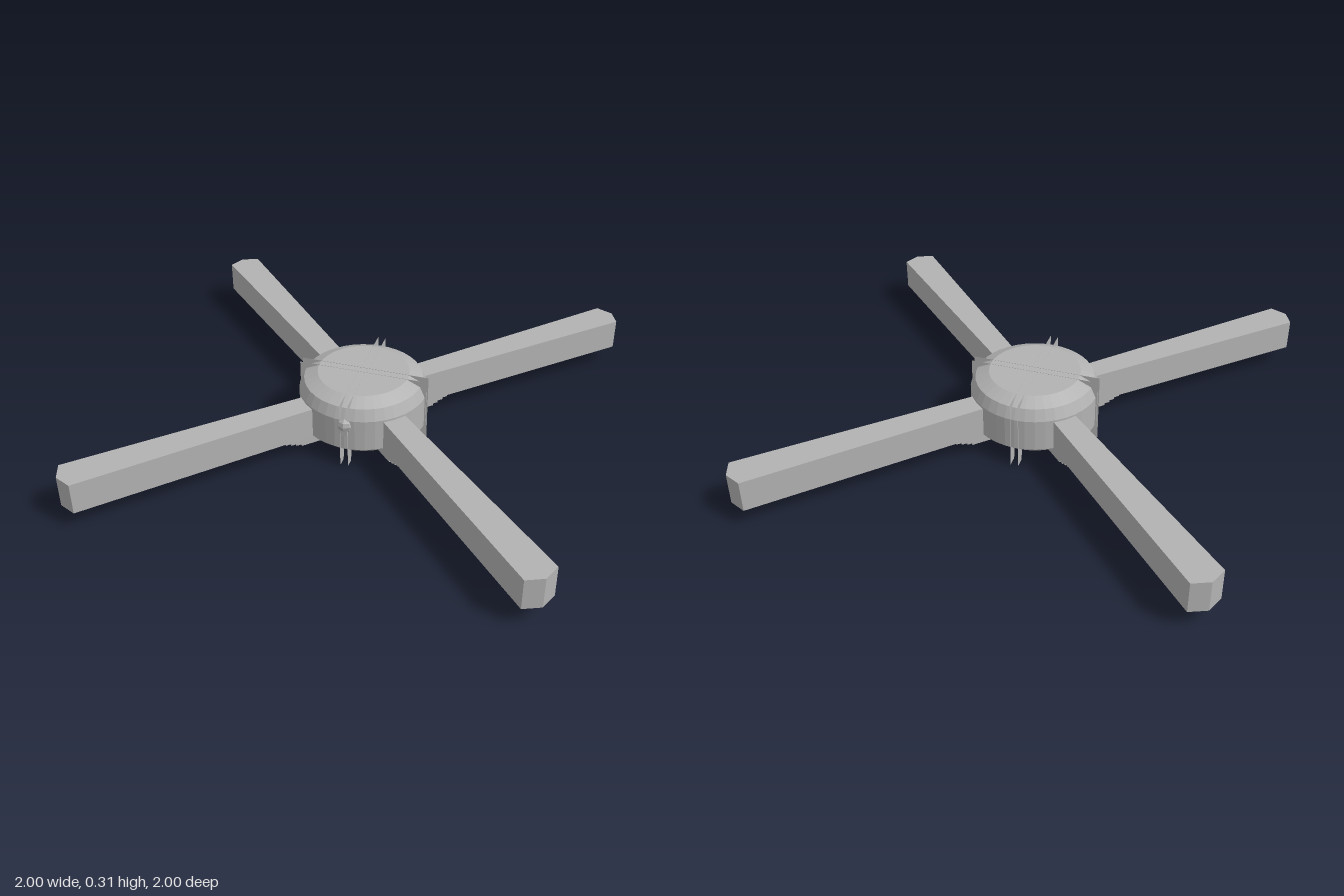
import * as THREE from 'three';

export function createModel() {
  const model = new THREE.Group();
  const grey = new THREE.MeshStandardMaterial({ color: 0xb2b2b2, flatShading: true });
  grey.name = 'grey';
  const greySheet = grey.clone();
  greySheet.name = 'grey';
  greySheet.side = THREE.DoubleSide;

  const add = (name, geometry, parent = model, material = grey) => {
    const mesh = new THREE.Mesh(geometry, material);
    mesh.name = name;
    parent.add(mesh);
    return mesh;
  };
  const outline = (pts) => new THREE.Shape(pts.map(([x, y]) => new THREE.Vector2(x, y)));

  // Round central body with bevelled rims
  const profile = [[0, 0.05], [0.235, 0.05], [0.282, 0.09], [0.282, 0.235],
    [0.26, 0.285], [0.2, 0.313], [0, 0.313]].map(([r, y]) => new THREE.Vector2(r, y));
  add('hub', new THREE.LatheGeometry(profile, 40));

  // Four arms that widen outwards to a blunt pointed tip, with stepped roots below
  const armGeometry = new THREE.ExtrudeGeometry(outline([
    [0.1, -0.049], [1.337, -0.074], [1.367, 0], [1.337, 0.074], [0.1, 0.049],
  ]), { depth: 0.14, bevelEnabled: false });
  armGeometry.rotateX(-Math.PI / 2).translate(0, 0.086, 0);
  for (let i = 0; i < 4; i++) {
    const arm = new THREE.Group();
    arm.name = 'arm' + (i + 1);
    arm.rotation.y = Math.PI / 4 + i * Math.PI / 2;
    add('armBeam', armGeometry, arm);
    for (let s = 0; s < 4; s++) {
      const length = 0.13 + s * 0.025;
      add('rootStep', new THREE.BoxGeometry(length, 0.01, 0.104), arm)
        .position.set(0.2 + length / 2, 0.056 + s * 0.009, 0);
    }
    model.add(arm);
  }

  // Two crossing pairs of thin upright sheets whose corners show past the body
  const sheet = new THREE.ShapeGeometry(outline([
    [-0.287, 0], [-0.24, 0], [-0.235, 0.056], [0.235, 0.056], [0.24, 0],
    [0.287, 0], [0.287, 0.314], [-0.287, 0.314],
  ]));
  for (const turn of [0, Math.PI / 2]) {
    const pair = new THREE.Group();
    pair.name = 'sheetPair';
    pair.rotation.y = turn;
    for (const z of [-0.017, 0.017]) add('sheet', sheet, pair, greySheet).position.z = z;
    model.add(pair);
  }

  // Faceted knob on the front
  const knob = add('frontKnob', new THREE.SphereGeometry(0.038, 8, 6));
  knob.position.set(0, 0.207, 0.262);
  add('knobStem', new THREE.BoxGeometry(0.03, 0.04, 0.02)).position.set(0, 0.18, 0.278);

  // Flared foot and small pads under the body
  add('foot', new THREE.CylinderGeometry(0.02, 0.038, 0.05, 8)).position.set(-0.16, 0.027, 0);
  add('frontPad', new THREE.BoxGeometry(0.037, 0.022, 0.075)).position.set(0, 0.043, 0.166);
  add('backPad', new THREE.BoxGeometry(0.037, 0.012, 0.075)).position.set(0, 0.048, -0.155);

  return model;
}
